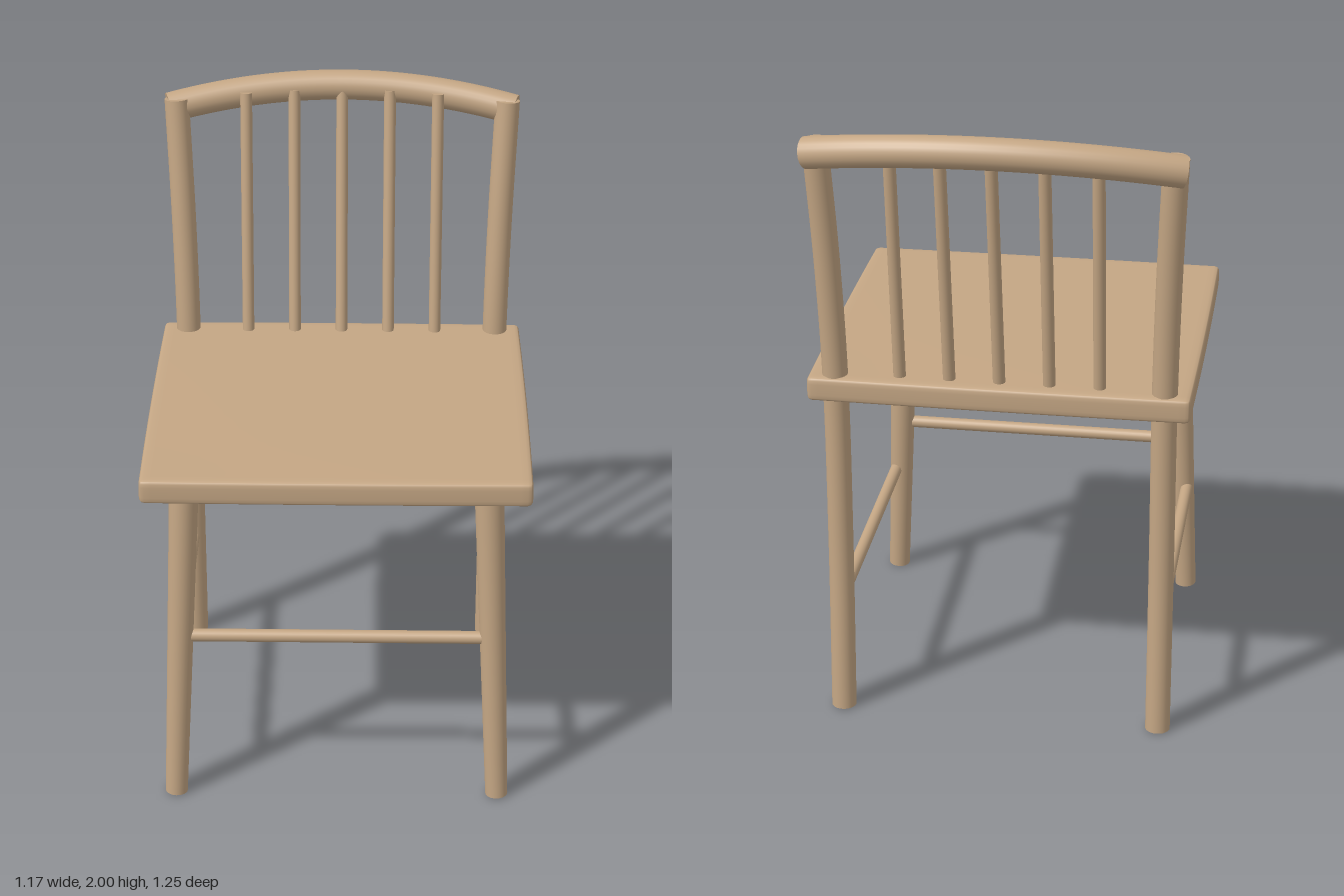
import * as THREE from 'three';
import { mergeVertices } from 'three/addons/utils/BufferGeometryUtils.js';

const V = (x, y, z) => new THREE.Vector3(x, y, z);

export function createModel() {
  const chair = new THREE.Group();
  chair.name = 'chair';
  const wood = new THREE.MeshStandardMaterial({ color: 0xc4a684 });
  wood.name = 'light wood';

  const add = (name, geometry, parent = chair) => {
    const mesh = new THREE.Mesh(geometry, wood);
    mesh.name = name;
    parent.add(mesh);
    return mesh;
  };

  // Straight round bar from a to b, optionally tapered
  const rod = (name, a, b, ra, rb = ra) => {
    const dir = b.clone().sub(a);
    const mesh = add(name, new THREE.CylinderGeometry(rb, ra, dir.length(), 24));
    mesh.position.copy(a).add(b).multiplyScalar(0.5);
    mesh.quaternion.setFromUnitVectors(V(0, 1, 0), dir.normalize());
  };

  // Bent round bar with flat ends
  const bentRod = (name, curve, radius) => {
    const group = new THREE.Group();
    group.name = name;
    chair.add(group);
    add(name + 'Bar', new THREE.TubeGeometry(curve, 40, radius, 24), group);
    for (const t of [0, 1]) {
      const cap = add(name + 'End', new THREE.CircleGeometry(radius, 24), group);
      cap.position.copy(curve.getPointAt(t));
      const out = curve.getTangentAt(t).multiplyScalar(t ? 1 : -1);
      cap.quaternion.setFromUnitVectors(V(0, 0, 1), out);
    }
  };

  // Seat: softly rounded slab, swelling very slightly at the middle
  const half = V(0.583, 0.039, 0.544), round = 0.016;
  let seat = new THREE.BoxGeometry(2, 2, 2, 24, 8, 24);
  seat.deleteAttribute('uv');
  seat.deleteAttribute('normal');
  seat = mergeVertices(seat);
  const pos = seat.attributes.position;
  const inner = half.clone().subScalar(round);
  const p = V(0, 0, 0), core = V(0, 0, 0);
  const crowd = (u) => Math.sign(u) * (1 - (1 - Math.abs(u)) ** 2);
  for (let i = 0; i < pos.count; i++) {
    p.fromBufferAttribute(pos, i);
    p.set(crowd(p.x), crowd(p.y), crowd(p.z)).multiply(half);
    core.copy(p).clamp(inner.clone().negate(), inner);
    p.sub(core).setLength(round).add(core);
    const sx = 1 - (p.x / half.x) ** 2, sz = 1 - (p.z / half.z) ** 2;
    p.set(p.x * (1 + 0.007 * sz), p.y * (1 + 0.14 * sx * sz), p.z * (1 + 0.007 * sx));
    pos.setXYZ(i, p.x, p.y, p.z);
  }
  seat.computeVertexNormals();
  add('seat', seat).position.set(0, 1.125, 0.076);

  for (const [side, s] of [['left', 1], ['right', -1]]) {
    // Splayed, tapered front leg
    rod(side + 'FrontLeg', V(s * 0.507, 0, 0.54), V(s * 0.457, 1.11, 0.487), 0.035, 0.045);

    // Back leg and post in one curved piece
    bentRod(side + 'BackPost', new THREE.CatmullRomCurve3([
      V(s * 0.505, 0, -0.423), V(s * 0.503, 0.6, -0.408), V(s * 0.502, 1.15, -0.42),
      V(s * 0.51, 1.55, -0.452), V(s * 0.525, 1.935, -0.495),
    ]), 0.039);

    // Side stretcher
    rod(side + 'Stretcher', V(s * 0.504, 0.387, 0.54), V(s * 0.504, 0.387, -0.4), 0.02);
  }

  // Front stretcher
  rod('frontStretcher', V(-0.48, 0.565, 0.514), V(0.48, 0.565, 0.514), 0.02);

  // Curved top rail, bowed up and back
  bentRod('topRail', new THREE.QuadraticBezierCurve3(
    V(-0.55, 1.9, -0.505), V(0, 2.004, -0.659), V(0.55, 1.9, -0.505)), 0.048);

  // Fan of back spindles
  const topZ = [-0.555, -0.54, -0.51];
  for (let i = -2; i <= 2; i++) {
    const x = i * 0.1525;
    rod('spindle', V(x, 1.14, -0.407), V(x, 1.95, topZ[Math.abs(i)]), 0.019);
  }
  return chair;
}
